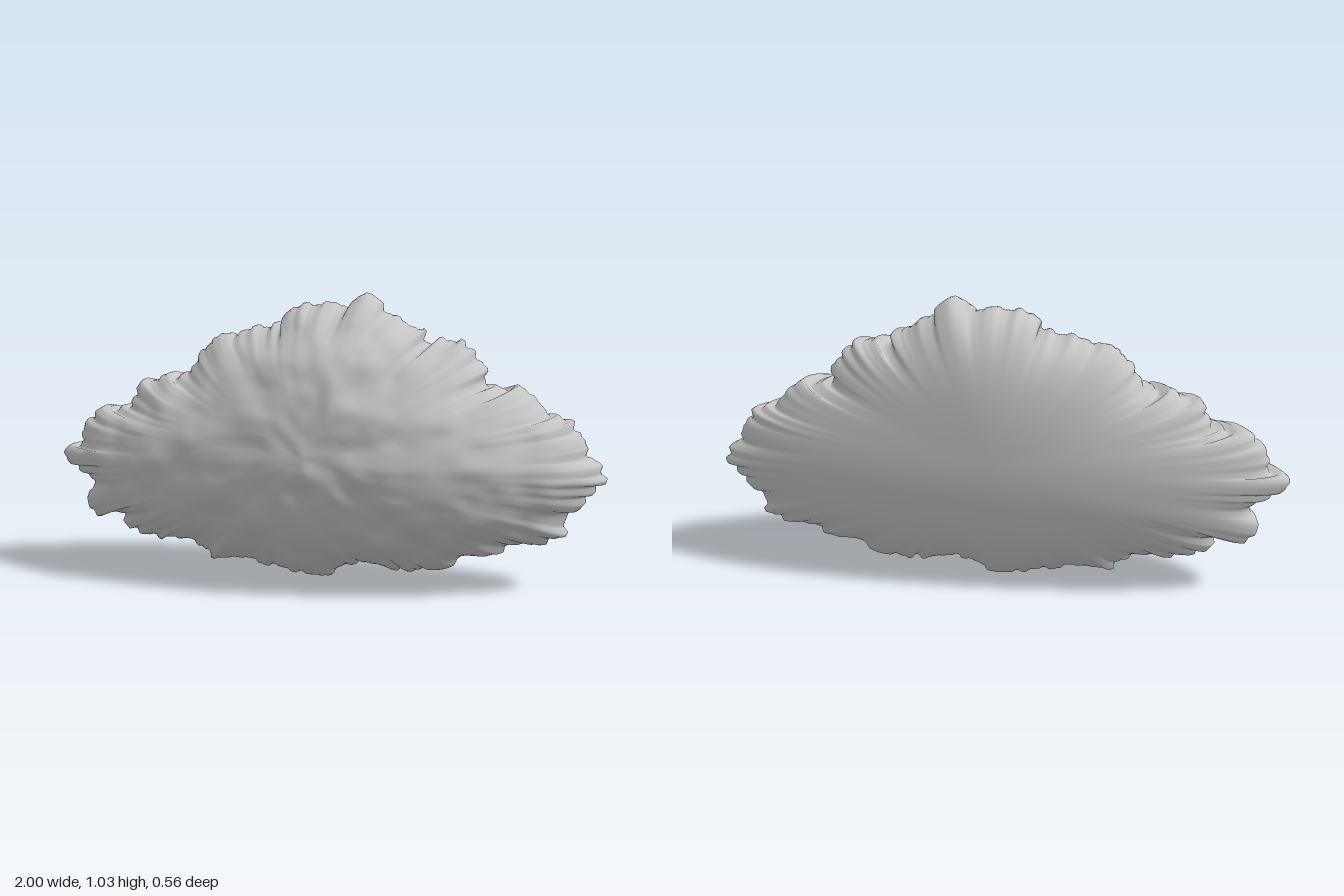
import * as THREE from 'three';

const SEGMENTS = 380, RINGS = 72;
const CENTRE = new THREE.Vector2(0, 0.5);

// Ragged rim, counter-clockwise from the left tip
const RIM = [
  [0.99, 0.42], [0.92, 0.5], [0.89, 0.58], [0.81, 0.62], [0.76, 0.67], [0.7, 0.72], [0.64, 0.7],
  [0.58, 0.73], [0.56, 0.8], [0.47, 0.88], [0.38, 0.87], [0.33, 0.92], [0.24, 0.96], [0.15, 1.025],
  [0.08, 0.99], [-0.02, 1.0], [-0.1, 0.98], [-0.15, 0.93], [-0.23, 0.91], [-0.33, 0.88], [-0.42, 0.86],
  [-0.47, 0.78], [-0.55, 0.73], [-0.68, 0.7], [-0.73, 0.62], [-0.82, 0.6], [-0.9, 0.54], [-0.91, 0.48],
  [-0.99, 0.44], [-0.93, 0.38], [-0.87, 0.34], [-0.9, 0.27], [-0.87, 0.2], [-0.78, 0.22], [-0.7, 0.14],
  [-0.58, 0.13], [-0.48, 0.13], [-0.42, 0.07], [-0.3, 0.06], [-0.15, 0.04], [0, 0.015], [0.08, 0.05],
  [0.2, 0.08], [0.3, 0.055], [0.47, 0.07], [0.5, 0.11], [0.62, 0.13], [0.72, 0.17], [0.86, 0.2],
  [0.88, 0.27], [0.94, 0.33],
];

// Smooth value noise in the plane
const hash = (i, j) => {
  const s = Math.sin(i * 127.1 + j * 311.7) * 43758.5453;
  return s - Math.floor(s);
};
function noise(x, y) {
  const i = Math.floor(x), j = Math.floor(y);
  const u = THREE.MathUtils.smoothstep(x - i, 0, 1), v = THREE.MathUtils.smoothstep(y - j, 0, 1);
  const { lerp } = THREE.MathUtils;
  return lerp(lerp(hash(i, j), hash(i + 1, j), u), lerp(hash(i, j + 1), hash(i + 1, j + 1), u), v) - 0.5;
}

// Evenly spaced rim with small nicks, and a softened copy for the inside
function makeRims() {
  const curve = new THREE.CatmullRomCurve3(RIM.map(([x, y]) => new THREE.Vector3(x, y, 0)), true);
  const even = curve.getSpacedPoints(SEGMENTS).slice(0, SEGMENTS).map((p) => new THREE.Vector2(p.x, p.y));
  const near = (i) => even[(i + SEGMENTS) % SEGMENTS];
  const ragged = even.map((p, i) => {
    const along = near(i + 2).clone().sub(near(i - 2)).normalize();
    const nick = 0.03 * (hash(Math.floor(i / 2), 7) - 0.5);
    return new THREE.Vector2(p.x + along.y * nick, Math.max(0, p.y - along.x * nick));
  });
  const soft = even.map((_, i) => {
    const sum = new THREE.Vector2();
    let total = 0;
    for (let k = -26; k <= 26; k++) {
      const weight = 27 - Math.abs(k);
      sum.addScaledVector(near(i + k), weight);
      total += weight;
    }
    return sum.divideScalar(total);
  });
  return { ragged, soft };
}

// Lumpy rounded front and smooth flatter back joined at the rim
function makeBody() {
  const { ragged, soft } = makeRims();
  const positions = [], index = [];

  const addPoint = (i, phi) => {
    const t = Math.sin(phi), c = Math.cos(phi);
    const p = soft[i].clone().lerp(ragged[i], t ** 6).sub(CENTRE).multiplyScalar(t).add(CENTRE);
    const dy = p.y - CENTRE.y;
    const rimZ = -0.06 - 0.04 * p.y;
    let z;
    if (c >= 0) {
      const lumps = 0.022 * noise(p.x * 11 + 40, p.y * 11) + 0.01 * noise(p.x * 21, p.y * 21 + 9);
      z = rimZ + c * 0.352 * (1 + 0.1 * dy) + lumps * Math.min(1, c * 2);
    } else {
      z = rimZ + c * 0.192 * (1 + 1.3 * Math.max(0, dy) ** 2);
    }
    positions.push(p.x, p.y, z);
  };

  addPoint(0, 0);
  for (let r = 1; r < RINGS; r++) {
    for (let i = 0; i < SEGMENTS; i++) addPoint(i, (Math.PI * r) / RINGS);
  }
  addPoint(0, Math.PI);

  const at = (r, i) => 1 + (r - 1) * SEGMENTS + (i % SEGMENTS);
  const last = positions.length / 3 - 1;
  for (let i = 0; i < SEGMENTS; i++) {
    index.push(0, at(1, i), at(1, i + 1));
    for (let r = 1; r < RINGS - 1; r++) {
      const a = at(r, i), b = at(r + 1, i), c = at(r + 1, i + 1), d = at(r, i + 1);
      index.push(a, b, c, a, c, d);
    }
    index.push(at(RINGS - 1, i), last, at(RINGS - 1, i + 1));
  }

  const geometry = new THREE.BufferGeometry();
  geometry.setAttribute('position', new THREE.Float32BufferAttribute(positions, 3));
  geometry.setIndex(index);
  geometry.computeVertexNormals();
  return geometry;
}

export function createModel() {
  const grey = new THREE.MeshStandardMaterial({ color: 0xc4c4c4 });
  grey.name = 'stone grey';
  const body = new THREE.Mesh(makeBody(), grey);
  body.name = 'raggedMound';
  const model = new THREE.Group();
  model.name = 'mound';
  model.add(body);
  return model;
}
